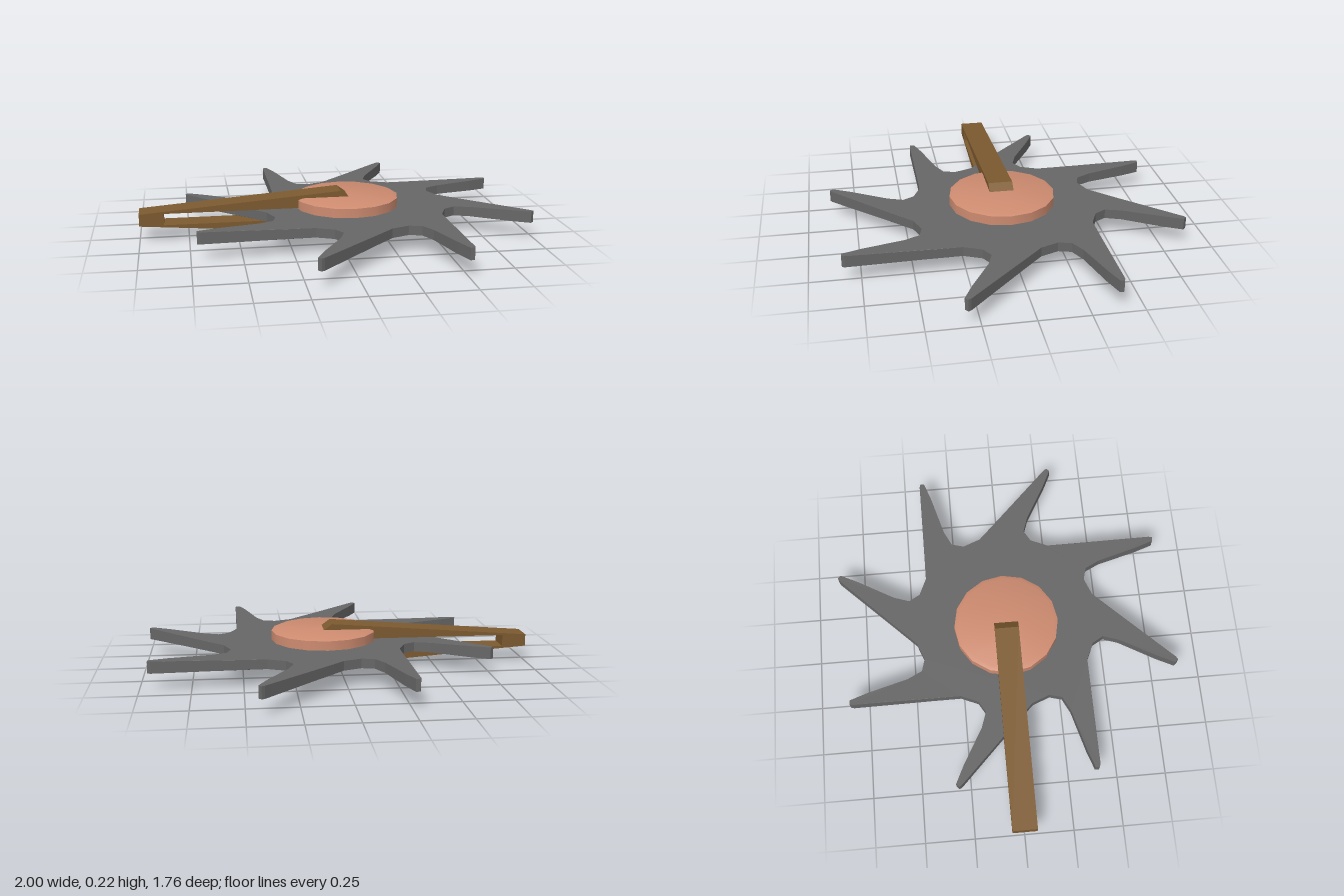
import * as THREE from 'three';
import { toCreasedNormals } from 'three/addons/utils/BufferGeometryUtils.js';

const MID = 0.113; // height of the mirror plane

function part(name, geometry, color) {
  const mesh = new THREE.Mesh(geometry, new THREE.MeshStandardMaterial({ color }));
  mesh.name = name;
  return mesh;
}

// Eight-toothed blade: one swept tooth turned in 45 degree steps
function bladeGeometry() {
  const tooth = [
    [0.44, -0.19], [0.475, -0.1], [0.58, 0.005], [0.87, 0.293], [0.878, 0.308],
    [0.862, 0.322], [0.77, 0.277], [0.583, 0.171], [0.503, 0.144],
  ].map(([x, y]) => new THREE.Vector2(x, y));
  const outline = [];
  const origin = new THREE.Vector2();
  for (let i = 0; i < 8; i++) {
    for (const p of tooth) outline.push(p.clone().rotateAround(origin, i * Math.PI / 4));
  }
  const g = new THREE.ExtrudeGeometry(new THREE.Shape(outline), { depth: 1, bevelEnabled: false });
  g.translate(0, 0, -0.5).rotateX(Math.PI / 2);
  // slightly thicker towards the tips
  const pos = g.attributes.position;
  for (let i = 0; i < pos.count; i++) {
    const r = Math.hypot(pos.getX(i), pos.getZ(i));
    const half = 0.024 + 0.006 * THREE.MathUtils.smoothstep(r, 0.48, 0.93);
    pos.setY(i, Math.sign(pos.getY(i)) * half);
  }
  g.computeVertexNormals();
  return g;
}

// Hub disc with chamfered rims
function hubGeometry() {
  const profile = [[0, -0.081], [0.25, -0.081], [0.272, -0.072], [0.272, 0.072], [0.25, 0.081], [0, 0.081]];
  const g = new THREE.LatheGeometry(profile.map(([r, y]) => new THREE.Vector2(r, y)), 16);
  return toCreasedNormals(g, 0.41);
}

// Forked handle: two tapering arms joined at the outer end, slotted for the blade
function handleGeometry() {
  const upper = [[-1, 0.031], [0.035, 0.112], [0.08, 0.079], [0.08, 0.03], [-0.875, 0.03]];
  const lower = upper.map(([x, y]) => [x, -y]).reverse();
  const shape = new THREE.Shape([...upper, ...lower].map(([x, y]) => new THREE.Vector2(x, y)));
  return new THREE.ExtrudeGeometry(shape, { depth: 0.126, bevelEnabled: false }).translate(0, 0, -0.063);
}

export function createModel() {
  const group = new THREE.Group();
  group.name = 'spikedWheel';

  const blade = part('toothedBlade', bladeGeometry(), 0x666666);
  blade.position.set(0.12, MID, 0);

  const hub = part('hub', hubGeometry(), 0xcd8b70);
  hub.position.set(0.075, MID, 0);

  const handle = part('forkedHandle', handleGeometry(), 0x7c5a30);
  handle.position.y = MID;

  group.add(blade, hub, handle);
  return group;
}
